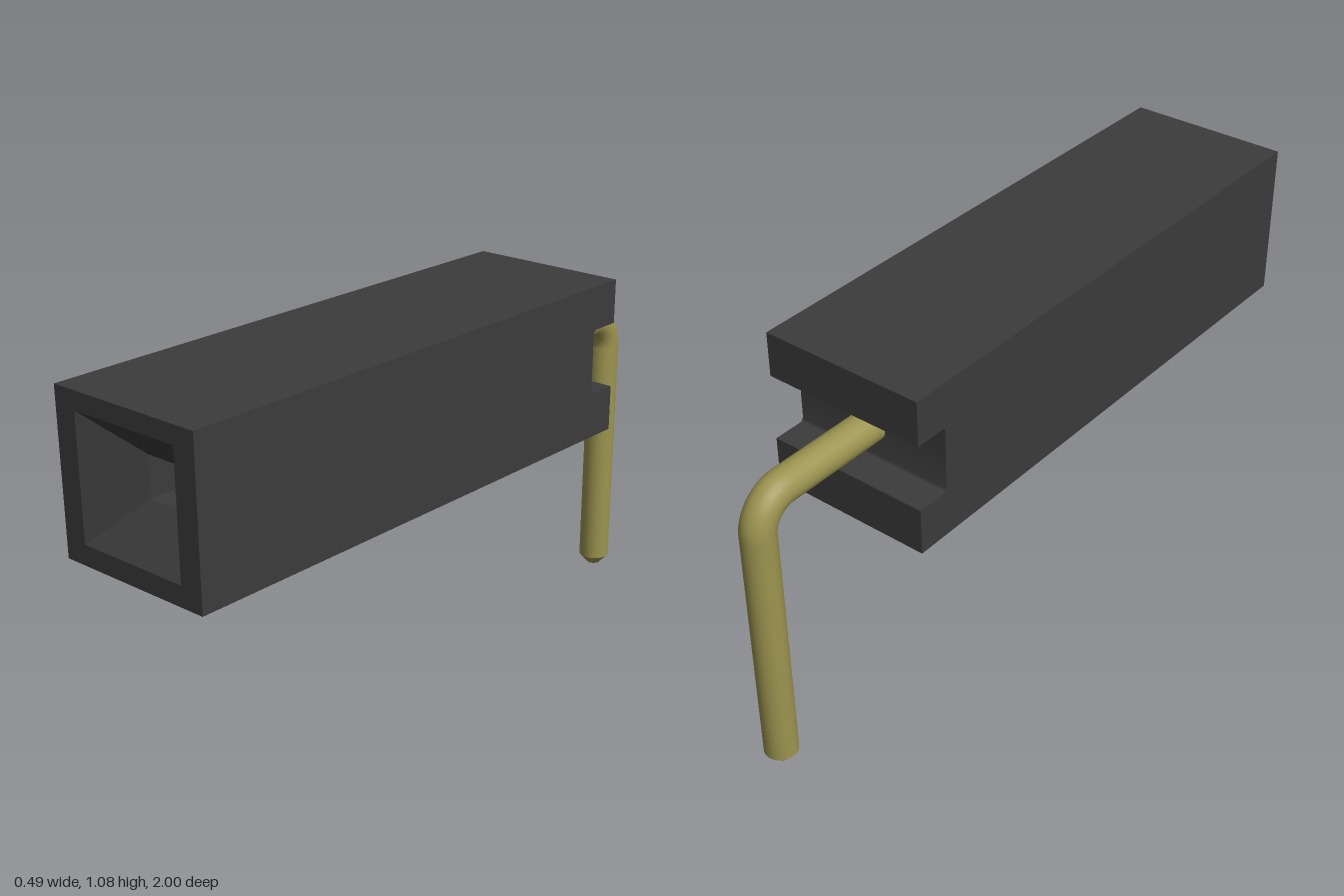
import * as THREE from 'three';
import { toCreasedNormals } from 'three/addons/utils/BufferGeometryUtils.js';

const HALF = 0.245, BOTTOM = 0.62, TOP = 1.08, FRONT = 1, BACK = -0.64;
const AXIS = 0.853; // height of the socket and pin axis
const PIN_R = 0.047, BEND_R = 0.095, PIN_Z = -0.953;

const plastic = new THREE.MeshStandardMaterial({ color: 0x3b3b3b });
const plasticFlat = new THREE.MeshStandardMaterial({ color: 0x3b3b3b, flatShading: true, side: THREE.DoubleSide });
const metal = new THREE.MeshStandardMaterial({ color: 0x9c9450 });

function addMesh(parent, name, geometry, material) {
  const mesh = new THREE.Mesh(geometry, material);
  mesh.name = name;
  parent.add(mesh);
  return mesh;
}

// Side profile (z, y) with a filleted slot in the back, left open at the front
function housingGeometry() {
  const floor = -0.54, low = 0.755, high = 0.95, f = 0.015;
  const s = new THREE.Shape();
  s.moveTo(FRONT, BOTTOM);
  s.lineTo(FRONT, TOP);
  s.lineTo(BACK, TOP);
  s.lineTo(BACK, high);
  s.lineTo(floor - f, high);
  s.quadraticCurveTo(floor, high, floor, high - f);
  s.lineTo(floor, low + f);
  s.quadraticCurveTo(floor, low, floor - f, low);
  s.lineTo(BACK, low);
  s.lineTo(BACK, BOTTOM);
  s.closePath();
  const g = new THREE.ExtrudeGeometry(s, { depth: 2 * HALF, bevelEnabled: false, curveSegments: 5 });
  g.rotateY(-Math.PI / 2).translate(HALF, 0, 0);

  // Drop the front wall, which the rim replaces
  const p = g.attributes.position, kept = [];
  for (let i = 0; i < p.count; i += 3) {
    const isFront = [0, 1, 2].every((k) => p.getZ(i + k) > FRONT - 1e-4);
    if (isFront) continue;
    for (let k = 0; k < 3; k++) kept.push(p.getX(i + k), p.getY(i + k), p.getZ(i + k));
  }
  const open = new THREE.BufferGeometry();
  open.setAttribute('position', new THREE.Float32BufferAttribute(kept, 3));
  open.computeVertexNormals();
  return toCreasedNormals(open, 0.6);
}

function rectangle(path, x, y0, y1) {
  path.moveTo(-x, y0);
  path.lineTo(x, y0);
  path.lineTo(x, y1);
  path.lineTo(-x, y1);
  path.closePath();
  return path;
}

export function createModel() {
  const model = new THREE.Group();
  model.name = 'socketConnector';

  // Plastic housing
  const housing = new THREE.Group();
  housing.name = 'housing';
  model.add(housing);
  addMesh(housing, 'housingShell', housingGeometry(), plastic);

  const mouth = 0.175, hole = 0.058;
  const rim = rectangle(new THREE.Shape(), HALF, BOTTOM, TOP);
  rim.holes.push(rectangle(new THREE.Path(), mouth, AXIS - mouth, AXIS + mouth));
  addMesh(housing, 'frontRim', new THREE.ShapeGeometry(rim), plastic).position.z = FRONT;

  // Square funnel leading into a short straight hole
  const funnel = [[hole, 0.8], [hole, 0.88], [mouth, FRONT]]
    .map(([half, z]) => new THREE.Vector2(half * Math.SQRT2, z));
  const funnelGeometry = new THREE.LatheGeometry(funnel, 4, Math.PI / 4).rotateX(Math.PI / 2);
  addMesh(housing, 'entryFunnel', funnelGeometry, plasticFlat).position.y = AXIS;

  // Metal contact at the bottom of the hole
  const contact = addMesh(model, 'contact', new THREE.BoxGeometry(2 * hole, 2 * hole, 1.2), metal);
  contact.position.set(0, AXIS, 0.2);

  // Right-angle round pin
  const pin = new THREE.Group();
  pin.name = 'pin';
  model.add(pin);
  const bendZ = PIN_Z + BEND_R, bendY = AXIS - BEND_R, start = -0.5;

  const arm = new THREE.CylinderGeometry(PIN_R, PIN_R, start - bendZ, 24, 1, true).rotateX(Math.PI / 2);
  addMesh(pin, 'pinArm', arm, metal).position.set(0, AXIS, (start + bendZ) / 2);

  const bend = new THREE.TorusGeometry(BEND_R, PIN_R, 24, 16, Math.PI / 2).rotateY(Math.PI / 2);
  addMesh(pin, 'pinBend', bend, metal).position.set(0, bendY, bendZ);

  const legProfile = [[0, 0], [0.02, 0], [PIN_R, 0.03], [PIN_R, bendY]]
    .map(([r, y]) => new THREE.Vector2(r, y));
  const leg = toCreasedNormals(new THREE.LatheGeometry(legProfile, 24), 0.6);
  addMesh(pin, 'pinLeg', leg, metal).position.z = PIN_Z;

  return model;
}
